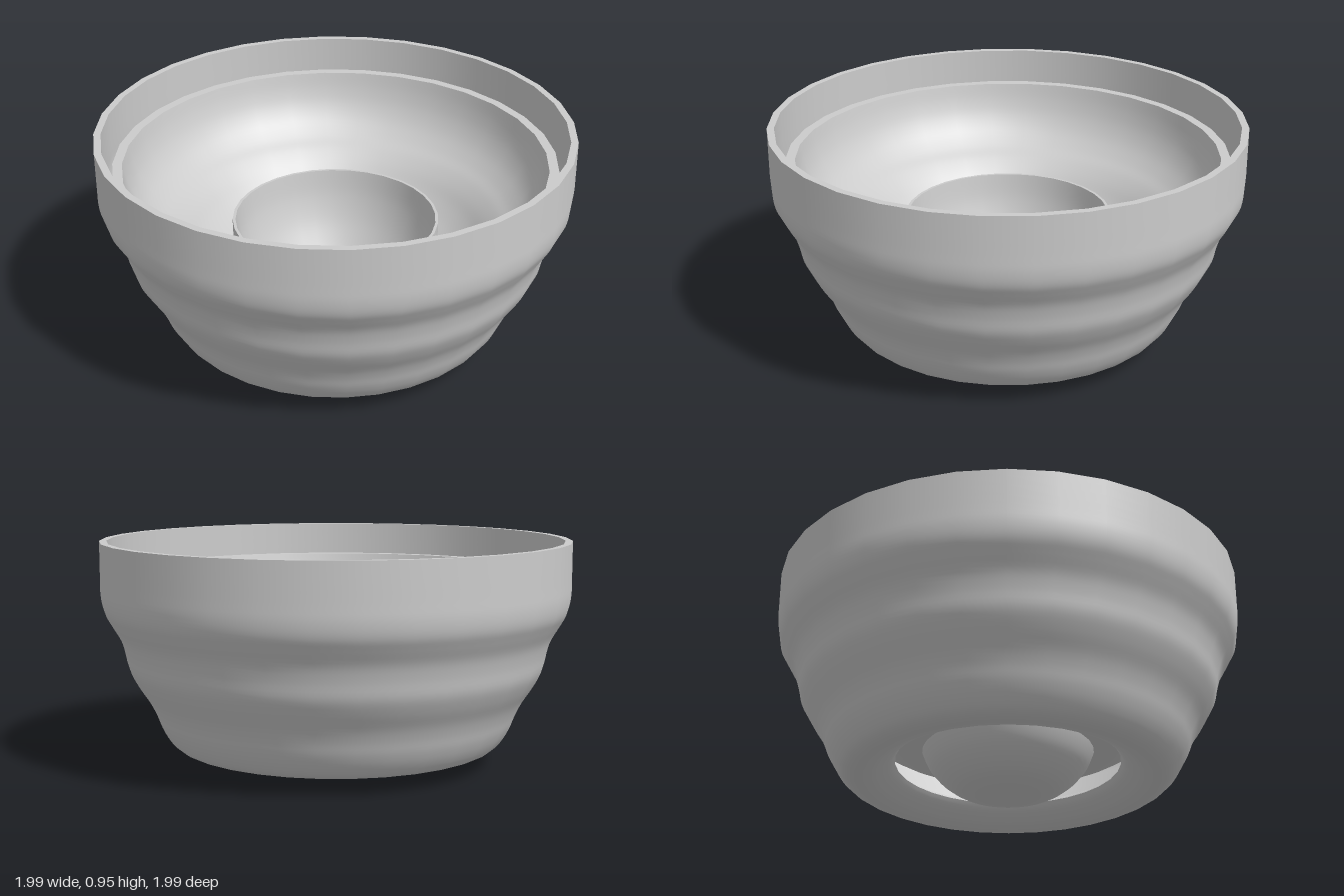
import * as THREE from 'three';
import { mergeGeometries } from 'three/addons/utils/BufferGeometryUtils.js';

const SIDES = 32;
const material = new THREE.MeshStandardMaterial({ color: 0xcccccc, side: THREE.DoubleSide });

// Smooth curve through [radius, height] points
function smooth(points, steps = 32) {
  const curve = new THREE.SplineCurve(points.map(([r, y]) => new THREE.Vector2(r, y)));
  return curve.getPoints(steps);
}

function straight(...points) {
  return points.map(([r, y]) => new THREE.Vector2(r, y));
}

// Each section is smooth in itself; edges between sections stay sharp
function turned(name, sections) {
  const parts = sections.map((s) => new THREE.LatheGeometry(s, SIDES));
  const mesh = new THREE.Mesh(mergeGeometries(parts), material);
  mesh.name = name;
  return mesh;
}

export function createModel() {
  const group = new THREE.Group();
  group.name = 'nestedBowl';

  // Rippled outer shell whose base curls up around a central opening
  group.add(turned('outerShell', [
    smooth([[0.475, 0.14], [0.495, 0.115], [0.535, 0.088], [0.58, 0.068], [0.64, 0.061], [0.69, 0.08],
      [0.727, 0.122], [0.757, 0.175], [0.78, 0.232], [0.807, 0.285], [0.85, 0.35], [0.884, 0.415],
      [0.901, 0.487], [0.922, 0.55], [0.957, 0.61], [0.984, 0.66], [0.996, 0.72], [0.997, 0.8],
      [0.997, 0.95]], 72),
    straight([0.997, 0.95], [0.967, 0.95]),
    smooth([[0.967, 0.95], [0.967, 0.8], [0.966, 0.72], [0.952, 0.66], [0.89, 0.55], [0.87, 0.487],
      [0.853, 0.42], [0.82, 0.36], [0.747, 0.24], [0.7, 0.15], [0.64, 0.1], [0.58, 0.105],
      [0.53, 0.125], [0.495, 0.155], [0.475, 0.14]], 56),
  ]));

  // Stepped bowl seated inside the shell, descending to the cup
  group.add(turned('innerBowl', [
    smooth([[0.36, 0.19], [0.5, 0.23], [0.62, 0.3], [0.7, 0.41], [0.79, 0.53], [0.87, 0.64],
      [0.915, 0.74], [0.93, 0.81]]),
    straight([0.93, 0.81], [0.89, 0.81]),
    smooth([[0.89, 0.81], [0.875, 0.74], [0.85, 0.67], [0.81, 0.605], [0.755, 0.55], [0.7, 0.51],
      [0.65, 0.465], [0.6, 0.41], [0.55, 0.365], [0.5, 0.33], [0.43, 0.285]], 40),
  ]));

  // Central cup: raised rim above the bowl floor, rounded foot through the opening
  group.add(turned('centerCup', [
    straight([0, 0], [0.14, 0]),
    smooth([[0.14, 0], [0.21, 0.022], [0.27, 0.06], [0.32, 0.11], [0.352, 0.165], [0.38, 0.24],
      [0.42, 0.35], [0.438, 0.45], [0.44, 0.532]]),
    straight([0.44, 0.532], [0.428, 0.532]),
    smooth([[0.428, 0.532], [0.41, 0.42], [0.375, 0.31], [0.325, 0.21], [0.27, 0.12], [0.235, 0.065],
      [0.2, 0.035]]),
    straight([0.2, 0.035], [0, 0.035]),
  ]));

  return group;
}
